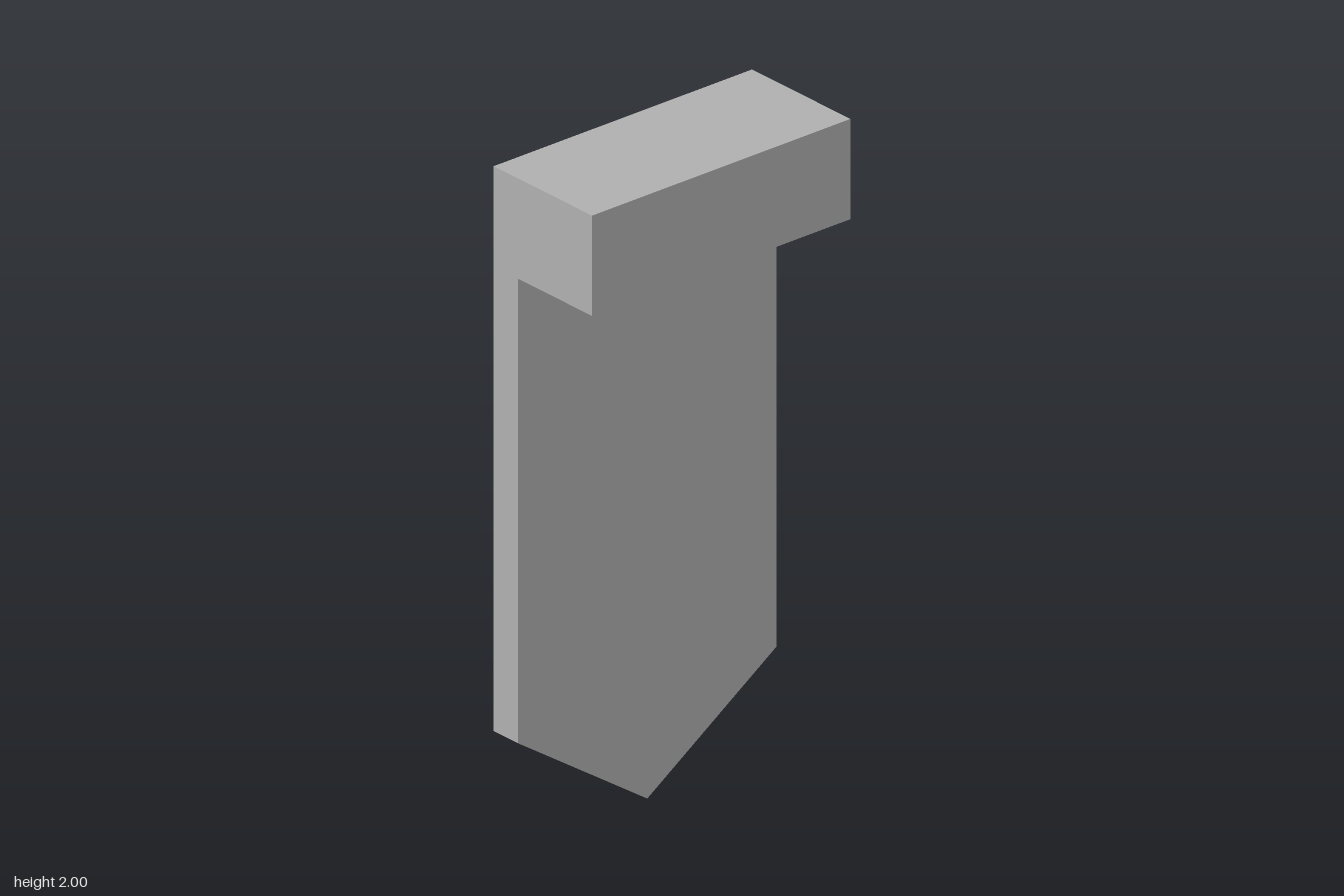
import * as THREE from 'three';

const HALF_WIDTH = 0.46;
const BACK = -0.203;
const PANEL_FRONT = -0.102;
const LEDGE_FRONT = 0.203;
const LEDGE_BOTTOM = 1.7;
const SHOULDER = 0.31;

export function createModel() {
  const group = new THREE.Group();
  group.name = 'pointedHookPanel';

  const grey = new THREE.MeshStandardMaterial({ color: 0xb2b2b2 });
  grey.name = 'plain grey';

  // Side profile (x = depth, y = height): thin panel with a ledge at the top
  const profile = new THREE.Shape([
    [BACK, SHOULDER], [PANEL_FRONT, SHOULDER], [PANEL_FRONT, LEDGE_BOTTOM],
    [LEDGE_FRONT, LEDGE_BOTTOM], [LEDGE_FRONT, 2], [BACK, 2],
  ].map(([z, y]) => new THREE.Vector2(z, y)));

  // Sweep across the width in two halves
  const geometry = new THREE.ExtrudeGeometry(profile, {
    depth: HALF_WIDTH * 2, steps: 2, bevelEnabled: false,
  });
  geometry.translate(0, 0, -HALF_WIDTH).rotateY(-Math.PI / 2);

  // Pull the middle of the bottom edge down to a point
  const position = geometry.attributes.position;
  for (let i = 0; i < position.count; i++) {
    if (position.getY(i) < SHOULDER + 0.01) {
      position.setY(i, SHOULDER * Math.abs(position.getX(i)) / HALF_WIDTH);
    }
  }
  geometry.computeVertexNormals();

  const panel = new THREE.Mesh(geometry, grey);
  panel.name = 'pointedPanelWithLedge';
  group.add(panel);
  return group;
}
